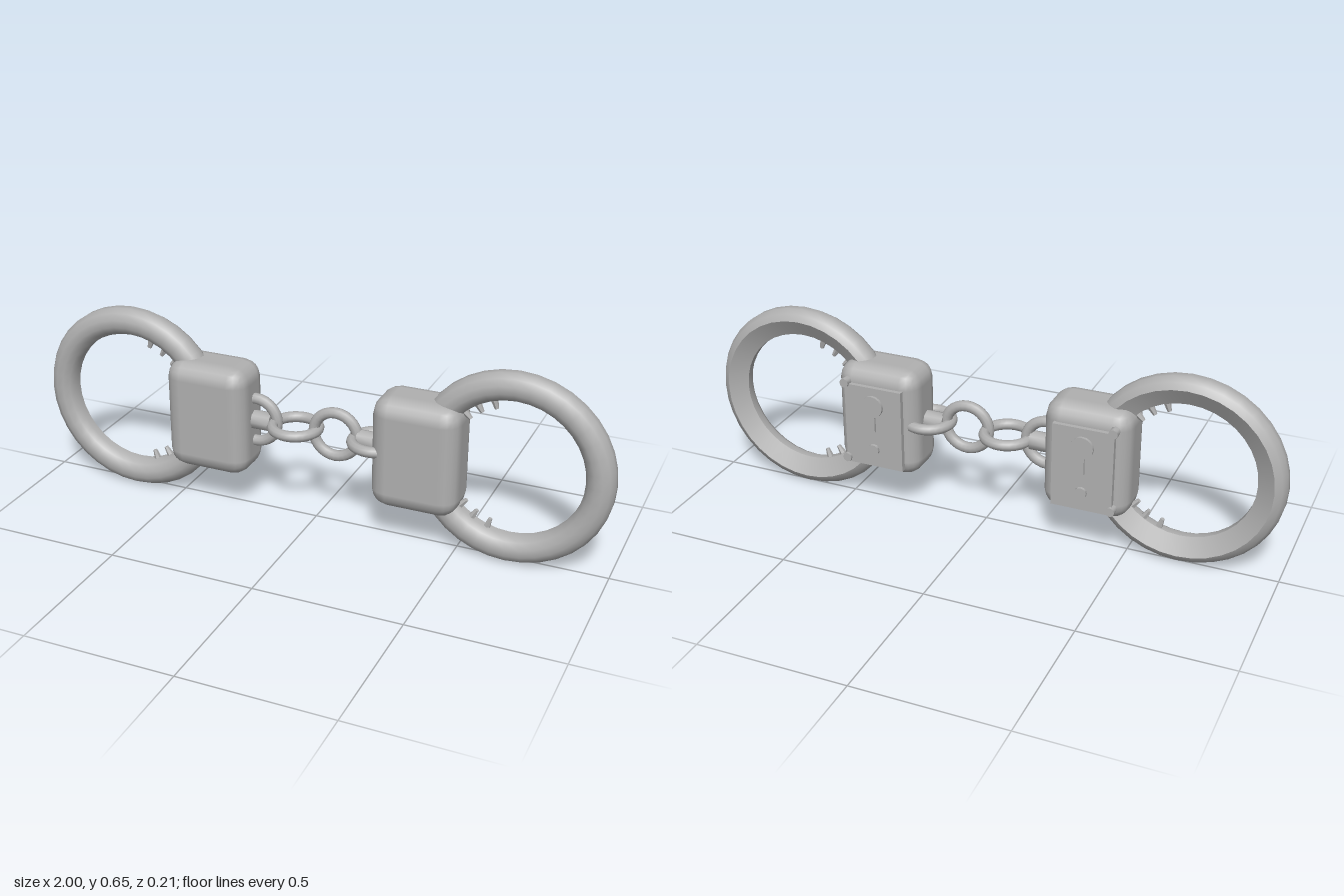
import * as THREE from 'three';
import { toCreasedNormals } from 'three/addons/utils/BufferGeometryUtils.js';
import { RoundedBoxGeometry } from 'three/addons/geometries/RoundedBoxGeometry.js';

const CY = 0.33, CZ = 0.011; // common axis of rings, cases and chain

export function createModel() {
  const model = new THREE.Group();
  const steel = new THREE.MeshStandardMaterial({ color: 0xb0b0b0 });
  steel.name = 'steel';

  const add = (parent, name, geometry, x, y, z) => {
    const mesh = new THREE.Mesh(geometry, steel);
    mesh.name = name;
    mesh.position.set(x, y, z);
    parent.add(mesh);
    return mesh;
  };
  const cylinder = (r, depth, sides) => toCreasedNormals(new THREE.CylinderGeometry(r, r, depth, sides), 0.9);
  const disc = (r, depth, sides) => cylinder(r, depth, sides).rotateX(Math.PI / 2);

  // Ring profile: twelve-sided tube with the inner back corner cut flat
  const profile = [];
  for (let deg = -75; deg <= 195; deg += 30) {
    const a = THREE.MathUtils.degToRad(deg);
    profile.push(new THREE.Vector2(0.28 + 0.048 * Math.cos(a), 0.048 * Math.sin(a)));
  }
  profile.push(profile[0].clone());
  const ringGeometry = toCreasedNormals(new THREE.LatheGeometry(profile, 36).rotateX(Math.PI / 2), 0.8);

  const caseGeometry = new RoundedBoxGeometry(0.293, 0.385, 0.187, 2, 0.06);
  const toothGeometry = toCreasedNormals(new THREE.CylinderGeometry(0.007, 0.015, 0.05, 6), 0.5);
  const up = new THREE.Vector3(0, 1, 0);

  // Two mirrored cuffs
  for (const s of [-1, 1]) {
    const cuff = new THREE.Group();
    cuff.name = s > 0 ? 'leftCuff' : 'rightCuff';
    model.add(cuff);
    add(cuff, 'ring', ringGeometry, s * 0.672, CY, CZ);
    add(cuff, 'lockCase', caseGeometry, s * 0.3665, CY, CZ);

    // Ratchet teeth pointing into the ring, above and below
    for (const v of [-1, 1]) {
      for (const deg of [45, 58, 72]) {
        const a = THREE.MathUtils.degToRad(deg);
        const out = new THREE.Vector3(-s * Math.cos(a), v * Math.sin(a), 0);
        const tooth = add(cuff, 'ratchetTooth', toothGeometry,
          s * 0.672 + out.x * 0.228, CY + out.y * 0.228, CZ);
        tooth.quaternion.setFromUnitVectors(up, out.clone().negate());
      }
    }

    // Lock plate with keyhole, pin and two rivets on the back
    add(cuff, 'lockPlate', new THREE.BoxGeometry(0.205, 0.29, 0.02), s * 0.367, 0.318, -0.087);
    add(cuff, 'keyholeDisc', disc(0.038, 0.012, 16), s * 0.367, 0.398, -0.101);
    add(cuff, 'keyholeSlot', new THREE.BoxGeometry(0.018, 0.065, 0.01), s * 0.367, 0.337, -0.101);
    add(cuff, 'lockPin', disc(0.02, 0.012, 12), s * 0.367, 0.237, -0.101);
    for (const y of [0.467, 0.19]) {
      add(cuff, 'rivet', disc(0.016, 0.028, 8), s * 0.467, y, -0.092);
    }

    // Stub that holds the chain
    add(cuff, 'chainStub', cylinder(0.033, 0.09, 8).rotateZ(Math.PI / 2), s * 0.2, CY, CZ);
  }

  // Four links, alternately upright and flat
  const linkGeometry = new THREE.TorusGeometry(0.077, 0.0185, 10, 28);
  const chain = new THREE.Group();
  chain.name = 'chain';
  model.add(chain);
  [-0.213, -0.07, 0.073, 0.213].forEach((x, i) => {
    const link = add(chain, 'chainLink', linkGeometry, x, CY, CZ);
    if (i % 2) link.rotation.x = Math.PI / 2;
  });

  return model;
}
